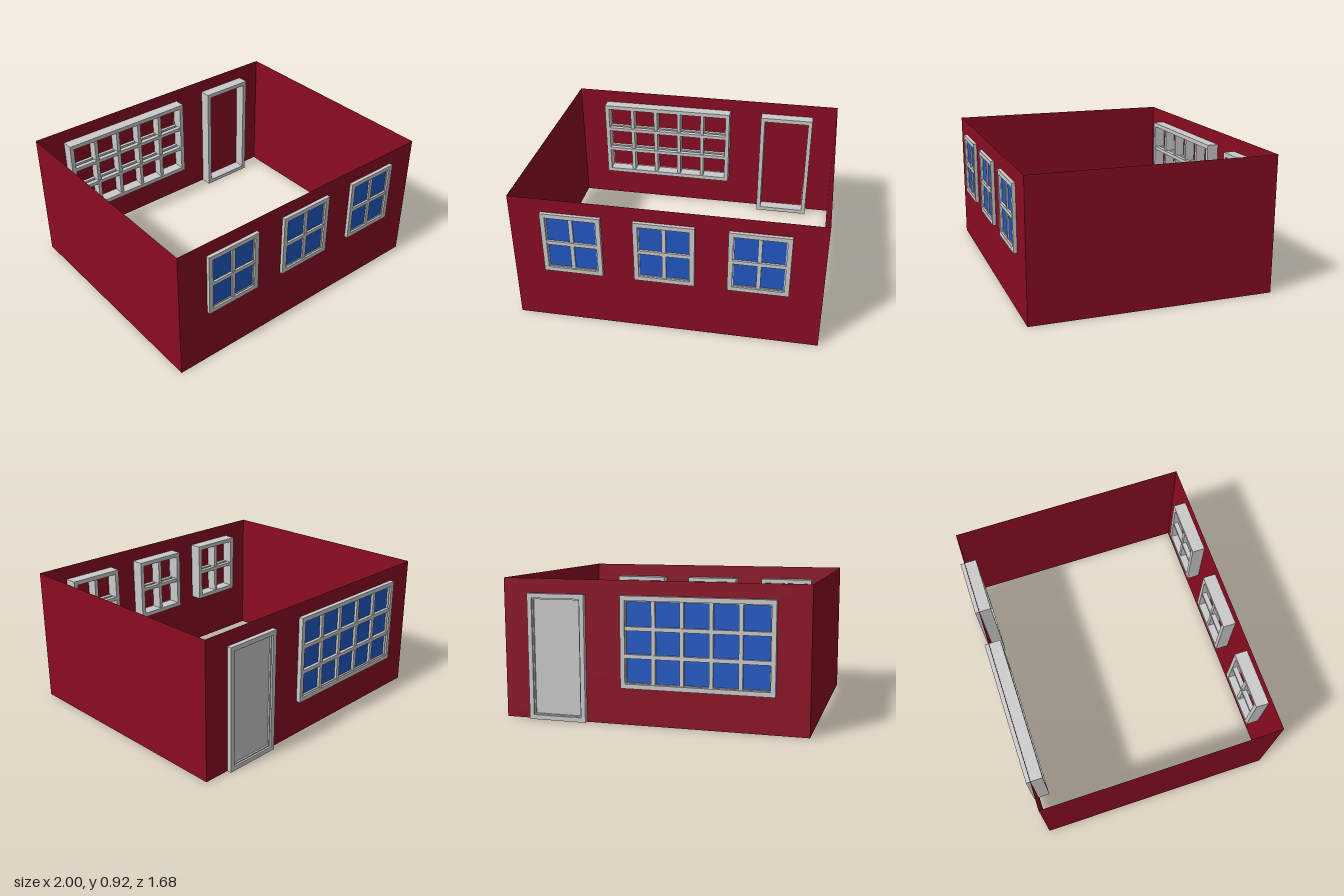
import * as THREE from 'three';

const mat = (name, color, side = THREE.FrontSide) => {
  const m = new THREE.MeshStandardMaterial({ color, side });
  m.name = name;
  return m;
};

export function createModel() {
  const red = mat('wall red', 0x8a0c22, THREE.DoubleSide);
  const grey = mat('trim grey', 0xcacaca);
  const blue = mat('glass blue', 0x205ac4);

  const H = 0.92, FRONT = 0.817, BACK = -0.81, DEPTH = 0.11;
  const model = new THREE.Group();
  model.name = 'room';

  const add = (parent, name, geometry, material, x = 0, y = 0, z = 0) => {
    const mesh = new THREE.Mesh(geometry, material);
    mesh.name = name;
    mesh.position.set(x, y, z);
    parent.add(mesh);
    return mesh;
  };

  // Box given by its centre in x and y and its range in z
  const slab = (parent, name, w, h, z0, z1, material, x = 0, y = 0) =>
    add(parent, name, new THREE.BoxGeometry(w, h, z1 - z0), material, x, y, (z0 + z1) / 2);

  // Rectangular ring extruded along z
  const ring = (parent, name, w, h, t, z0, z1) => {
    const rect = (P, a, b) => new P([
      new THREE.Vector2(-a, -b), new THREE.Vector2(a, -b),
      new THREE.Vector2(a, b), new THREE.Vector2(-a, b)]);
    const shape = rect(THREE.Shape, w / 2, h / 2);
    shape.holes.push(rect(THREE.Path, w / 2 - t, h / 2 - t));
    const geometry = new THREE.ExtrudeGeometry(shape, { depth: z1 - z0, bevelEnabled: false });
    return add(parent, name, geometry, grey, 0, 0, z0);
  };

  // Walls: four open sheets, no floor or roof
  const wall = (name, width, x, z, turn) => {
    add(model, name, new THREE.PlaneGeometry(width, H), red, x, H / 2, z).rotation.y = turn;
  };
  const midZ = (FRONT + BACK) / 2, len = FRONT - BACK;
  wall('frontWall', 2, 0, FRONT, 0);
  wall('backWall', 2, 0, BACK, Math.PI);
  wall('leftWall', len, 1, midZ, Math.PI / 2);
  wall('rightWall', len, -1, midZ, -Math.PI / 2);

  // Group whose local z = 0 lies on the wall plane, facing outward
  const opening = (name, x, y, onBack) => {
    const g = new THREE.Group();
    g.name = name;
    g.position.set(x, y, onBack ? BACK : FRONT);
    if (onBack) g.rotation.y = Math.PI;
    model.add(g);
    return g;
  };

  // Framed window with a grid of glazing bars
  const addWindow = (name, x, y, w, h, cols, rows, onBack) => {
    const g = opening(name, x, y, onBack);
    const out = onBack ? 0.03 : 0.023, inn = out - DEPTH;
    const iw = w - 0.06, ih = h - 0.06, bar = 0.026;
    ring(g, 'frame', w, h, 0.03, inn, out);
    ring(g, 'sash', iw, ih, 0.006, 0, out - 0.012);
    slab(g, 'glass', iw, ih, 0.001, 0.005, blue);
    for (let i = 1; i < cols; i++) {
      slab(g, 'verticalBar', bar, ih, inn + 0.01, out - 0.008, grey, -iw / 2 + iw * i / cols);
    }
    // Horizontal bars come in pairs, one behind the other
    for (let j = 1; j < rows; j++) {
      const by = -ih / 2 + ih * j / rows;
      slab(g, 'outerBar', iw, bar, out - 0.053, out - 0.004, grey, 0, by);
      slab(g, 'innerBar', iw, bar, inn + 0.004, inn + 0.037, grey, 0, by);
    }
  };

  for (const x of [-0.597, -0.002, 0.595]) {
    addWindow('frontWindow', x, 0.607, 0.388, 0.436, 2, 2, false);
  }
  addWindow('backWindow', -0.3, 0.533, 0.985, 0.586, 5, 3, true);

  // Door with a recessed panel
  const door = opening('door', 0.63, 0.4125, true);
  ring(door, 'doorFrame', 0.39, 0.825, 0.03, 0.03 - DEPTH, 0.03);
  ring(door, 'doorStep', 0.33, 0.765, 0.008, 0, 0.018);
  slab(door, 'doorPanel', 0.33, 0.765, 0.001, 0.007, grey);

  return model;
}
